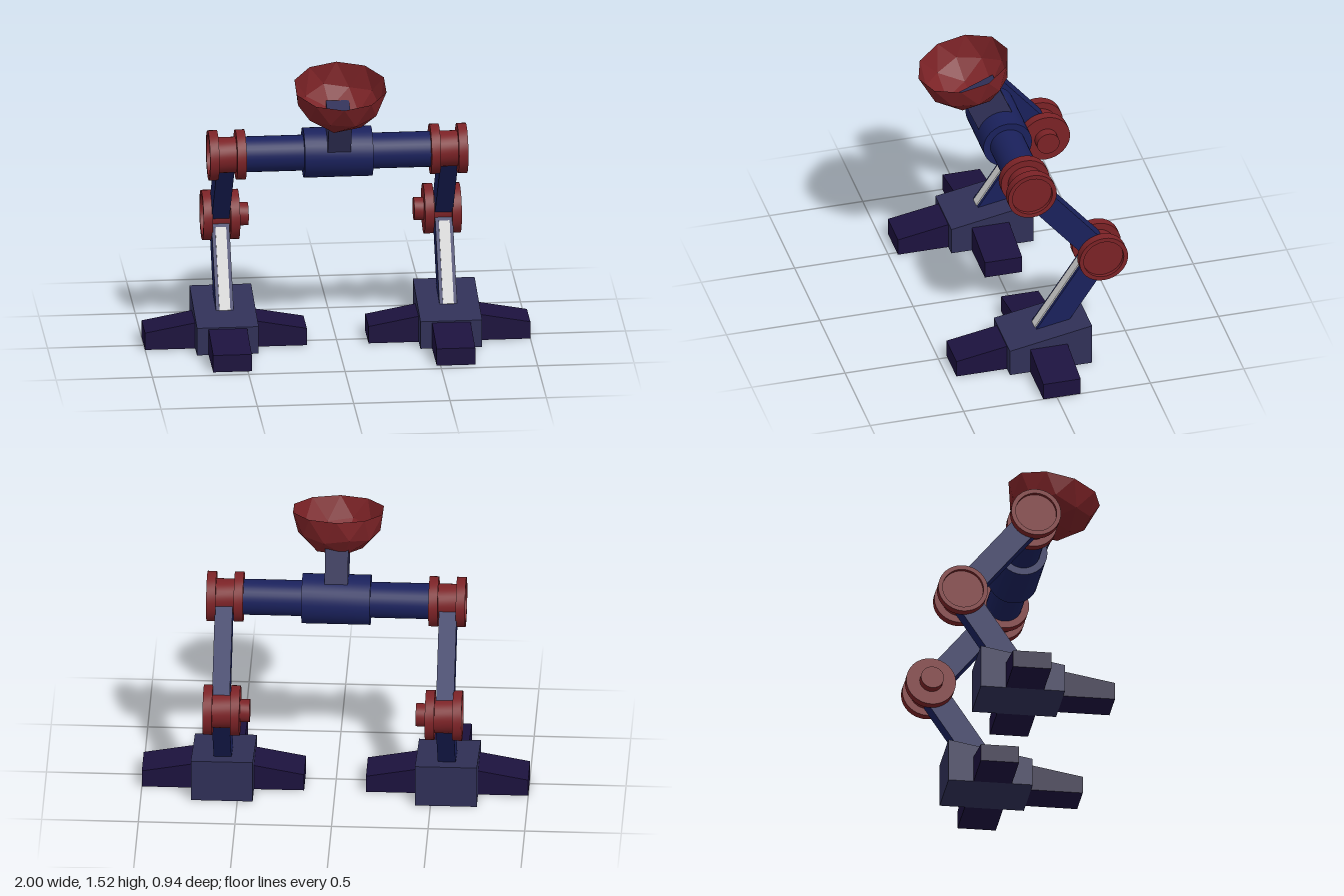
import * as THREE from 'three';
import { toCreasedNormals } from 'three/addons/utils/BufferGeometryUtils.js';

const mat = (color, extra = {}) => {
  const m = new THREE.MeshStandardMaterial({ color });
  return Object.assign(m, extra);
};

export function createModel() {
  const model = new THREE.Group();
  const red = mat(0x7b2226), blue = mat(0x1a215c), slate = mat(0x303057);
  const dark = mat(0x1c123e), pale = mat(0xcccccc);

  const add = (parent, name, geo, material, x = 0, y = 0, z = 0) => {
    const m = new THREE.Mesh(geo, material);
    m.name = name;
    m.position.set(x, y, z);
    parent.add(m);
    return m;
  };

  // Box running between two [y, z] points at a given x
  const limb = (parent, name, x, a, b, width, depth, material) => {
    const dy = b[0] - a[0], dz = b[1] - a[1];
    const m = add(parent, name, new THREE.BoxGeometry(width, Math.hypot(dy, dz), depth), material,
      x, (a[0] + b[0]) / 2, (a[1] + b[1]) / 2);
    m.rotation.x = Math.atan2(dz, dy);
    return m;
  };

  // Cylinder lying along x
  const rod = (r, len) => toCreasedNormals(
    new THREE.CylinderGeometry(r, r, len, 32).rotateZ(Math.PI / 2), 0.5);

  // Spool joint with a recessed outer face, pointing to side s
  const spool = (s) => {
    const pts = [[0, -0.095], [0.13, -0.095], [0.13, -0.047], [0.093, -0.047], [0.093, 0.047],
      [0.13, 0.047], [0.13, 0.095], [0.107, 0.095], [0.107, 0.075], [0, 0.075]]
      .map(([r, h]) => new THREE.Vector2(r, h));
    return toCreasedNormals(new THREE.LatheGeometry(pts, 32).rotateZ(-s * Math.PI / 2), 0.5);
  };

  // Box standing on y = 0 whose top slopes from hBack (-z) to hFront (+z)
  const wedge = (w, len, hBack, hFront) => {
    const g = new THREE.BoxGeometry(w, 1, len).translate(0, 0.5, 0);
    const p = g.attributes.position;
    for (let i = 0; i < p.count; i++) {
      if (p.getY(i) > 0.5) p.setY(i, p.getZ(i) > 0 ? hFront : hBack);
    }
    g.computeVertexNormals();
    return g;
  };

  const shoulder = [1.045, 0.042], knee = [0.585, -0.34], ankle = [0.102, -0.018];

  // Legs, mirrored left and right
  for (const s of [1, -1]) {
    const leg = new THREE.Group();
    leg.name = s > 0 ? 'leftLeg' : 'rightLeg';
    model.add(leg);
    const x = s * 0.58;

    add(leg, 'upperJoint', spool(s), red, s * 0.575, ...shoulder);
    add(leg, 'kneeJoint', spool(s), red, s * 0.575, ...knee);
    add(leg, 'kneeCap', rod(0.06, 0.06), red, s * 0.46, ...knee);
    limb(leg, 'thigh', x, knee, shoulder, 0.092, 0.13, blue);
    const shin = limb(leg, 'shin', x, ankle, knee, 0.092, 0.13, blue);
    add(shin, 'shinStrip', new THREE.BoxGeometry(0.056, 0.445, 0.014), pale, 0, -0.018, 0.065);

    // Foot block with three sloping toes
    add(leg, 'foot', wedge(0.32, 0.44, 0.23, 0.148), slate, x, 0, -0.038);
    add(leg, 'frontToe', wedge(0.2, 0.27, 0.14, 0.092), dark, x, 0, 0.317);
    for (const d of [1, -1]) {
      const toe = add(leg, 'sideToe', wedge(0.2, 0.26, 0.14, 0.092), dark, x + d * 0.29, 0, -0.027);
      toe.rotation.y = d * Math.PI / 2;
    }
  }

  // Cross beam with its thicker middle sleeve
  add(model, 'crossBeam', rod(0.093, 0.97), blue, 0, ...shoulder);
  add(model, 'beamSleeve', rod(0.13, 0.355), blue, 0, ...shoulder);

  // Neck leaning forward into the bowl
  limb(model, 'neck', 0, shoulder, [1.293, 0.148], 0.12, 0.195, slate);

  // Faceted bowl: lower half of an icosphere, pole turned onto the y axis
  const ball = new THREE.IcosahedronGeometry(0.244, 1)
    .rotateZ(-Math.atan(2 / (1 + Math.sqrt(5))));
  const src = ball.attributes.position, kept = [];
  for (let i = 0; i < src.count; i += 3) {
    if (src.getY(i) + src.getY(i + 1) + src.getY(i + 2) < 0) {
      for (let j = i; j < i + 3; j++) kept.push(src.getX(j), src.getY(j), src.getZ(j));
    }
  }
  const half = new THREE.BufferGeometry();
  half.setAttribute('position', new THREE.Float32BufferAttribute(kept, 3));
  half.computeVertexNormals();
  const bowl = add(model, 'bowl', half,
    mat(0x7b2226, { flatShading: true, side: THREE.DoubleSide }), 0, 1.47, 0.233);
  bowl.rotation.x = 0.21;

  return model;
}
